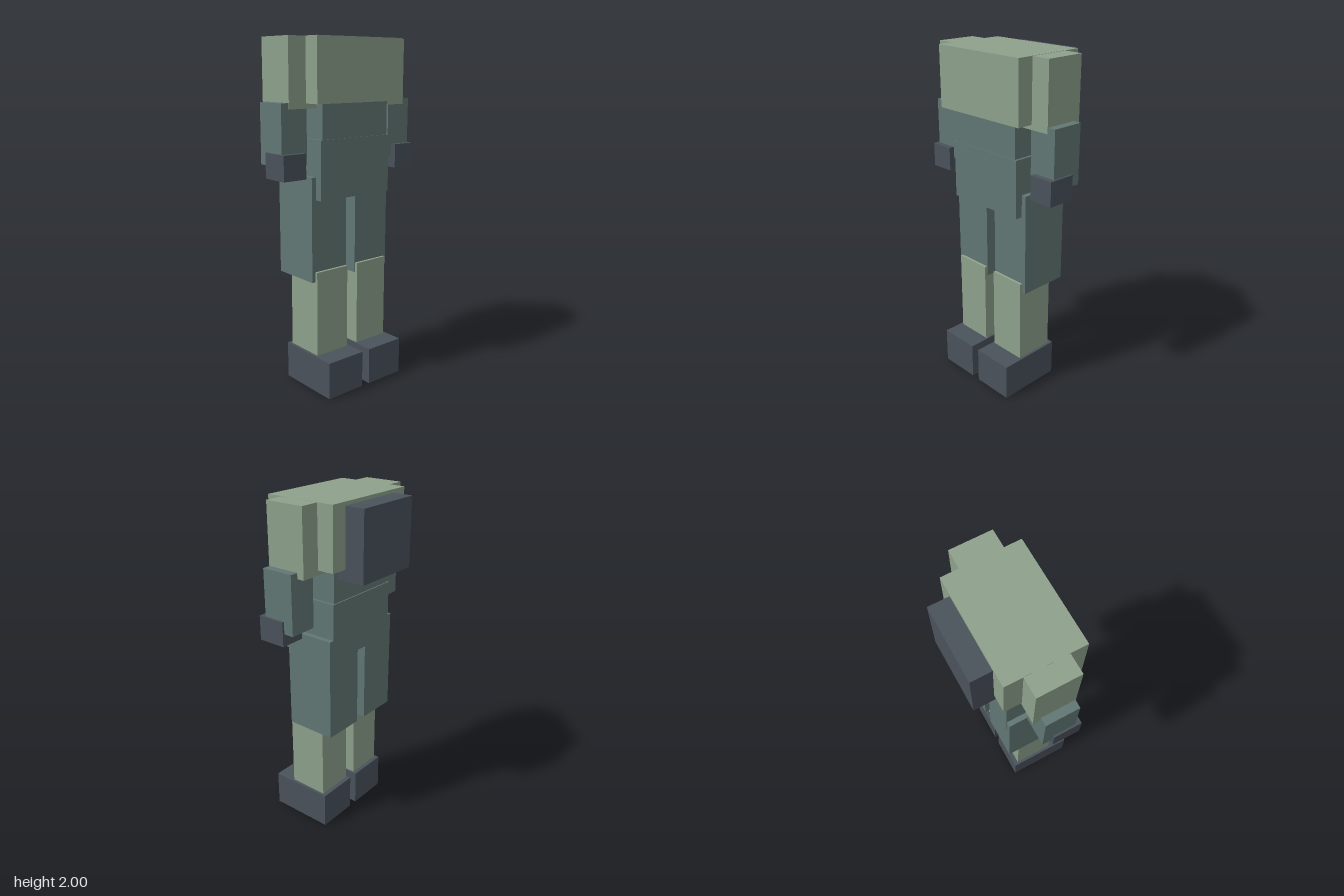
import * as THREE from 'three';

export function createModel() {
  const model = new THREE.Group();
  model.name = 'blockFigure';

  const material = (name, color) => {
    const m = new THREE.MeshStandardMaterial({ color });
    m.name = name;
    return m;
  };
  const sage = material('sageGreen', 0x8ea18c);
  const teal = material('greyTeal', 0x617774);
  const slate = material('darkSlate', 0x4a525b);

  // Box spanning the given [min, max] ranges
  function box(name, mat, [x0, x1], [y0, y1], [z0, z1]) {
    const mesh = new THREE.Mesh(new THREE.BoxGeometry(x1 - x0, y1 - y0, z1 - z0), mat);
    mesh.position.set((x0 + x1) / 2, (y0 + y1) / 2, (z0 + z1) / 2);
    mesh.name = name;
    model.add(mesh);
  }

  // The same box on the left (+x) and the right (-x)
  function pair(name, mat, [x0, x1], y, z) {
    box('left' + name, mat, [x0, x1], y, z);
    box('right' + name, mat, [-x1, -x0], y, z);
  }

  // Body
  box('chest', sage, [-0.309, 0.309], [1.652, 2], [-0.188, 0.247]);
  box('abdomen', teal, [-0.238, 0.238], [1.4, 1.7], [-0.135, 0.202]);
  box('pelvis', teal, [-0.253, 0.253], [1.125, 1.458], [-0.142, 0.206]);
  box('backpack', slate, [-0.211, 0.211], [1.588, 1.98], [-0.305, -0.13]);

  // Arms
  pair('Shoulder', sage, [0.2, 0.421], [1.625, 1.999], [-0.088, 0.151]);
  pair('Arm', teal, [0.303, 0.469], [1.322, 1.658], [-0.045, 0.148]);
  pair('Hand', slate, [0.334, 0.481], [1.252, 1.392], [0.015, 0.181]);

  // Legs
  pair('Thigh', teal, [0.034, 0.283], [0.655, 1.253], [-0.14, 0.163]);
  pair('Shin', sage, [0.038, 0.262], [0.18, 0.714], [-0.06, 0.18]);
  pair('Foot', slate, [0.027, 0.278], [0, 0.216], [-0.086, 0.305]);

  return model;
}
